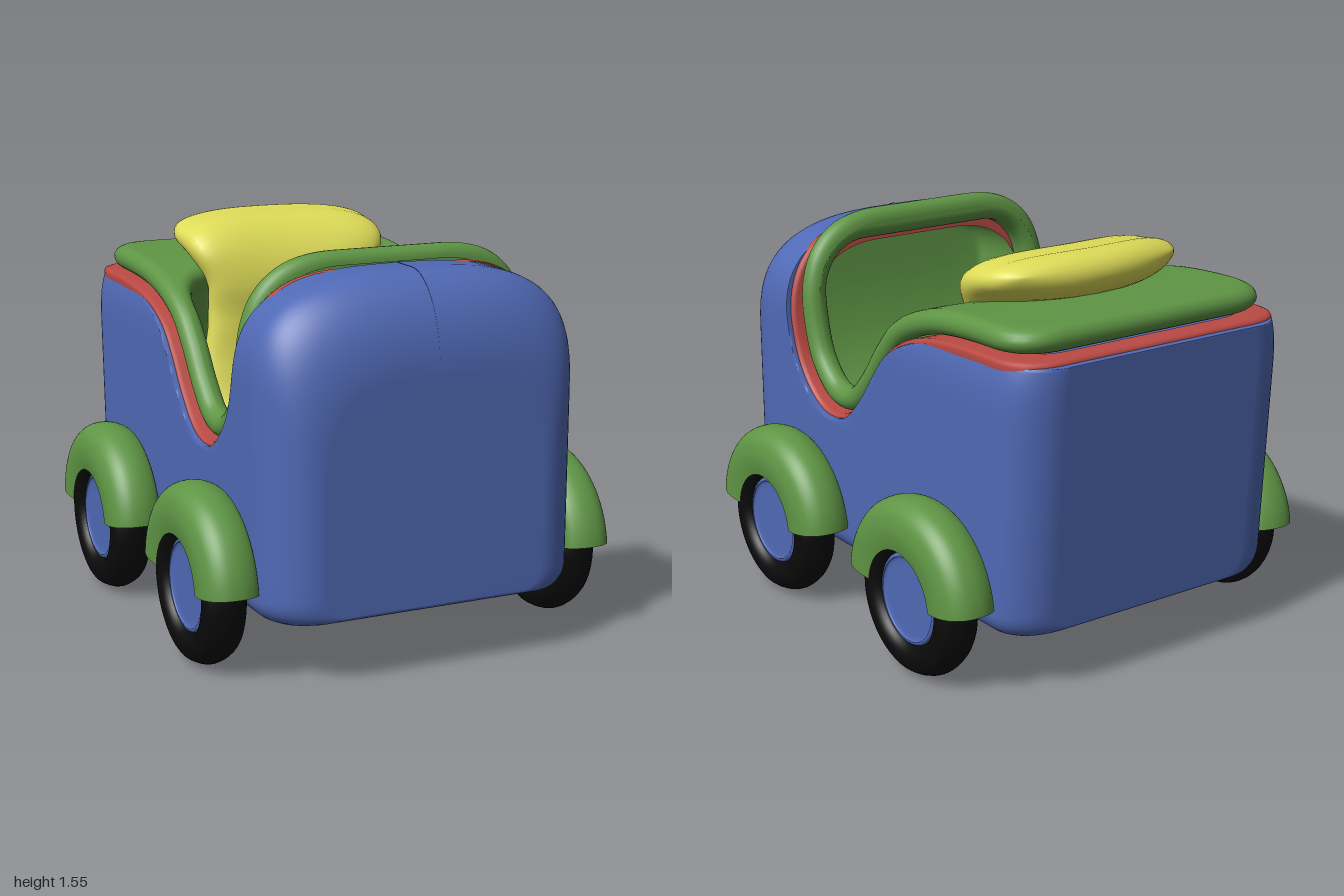
import * as THREE from 'three';
import { mergeVertices } from 'three/addons/utils/BufferGeometryUtils.js';

const BLUE = 0x5069b5, GREEN = 0x5f9545, YELLOW = 0xdedc58, RED = 0xbb4a44, BLACK = 0x0a0a0a;

function mesh(name, geometry, color) {
  const m = new THREE.Mesh(geometry, new THREE.MeshStandardMaterial({ color, side: THREE.DoubleSide }));
  m.name = name;
  return m;
}

// Smooth skin through rows of [x, y, z] points
function skin(rows) {
  const n = rows[0].length, index = [];
  for (let i = 0; i < rows.length - 1; i++) {
    for (let j = 0; j < n - 1; j++) {
      const a = i * n + j, b = a + 1, c = a + n, d = c + 1;
      index.push(a, b, d, a, d, c);
    }
  }
  let g = new THREE.BufferGeometry();
  g.setAttribute('position', new THREE.Float32BufferAttribute(rows.flat(2), 3));
  g.setIndex(index);
  g = mergeVertices(g, 1e-5);
  g.computeVertexNormals();
  return g;
}

// Side line of the body opening as (z, y), from hood top to tail
const edge = new THREE.SplineCurve([
  [0.645, 1.48], [0.635, 1.35], [0.61, 1.12], [0.55, 0.94], [0.43, 0.815], [0.3, 0.778], [0.17, 0.815],
  [0.05, 0.93], [-0.05, 1.06], [-0.16, 1.165], [-0.35, 1.238], [-0.6, 1.267], [-0.98, 1.272],
].map(p => new THREE.Vector2(...p)));
const LEN = edge.getLength();

// Bend a flat point (x, distance s along the edge line, height n above it) into place
function bend(x, s, n) {
  const u = THREE.MathUtils.clamp(s / LEN, 0, 1);
  const p = edge.getPointAt(u), t = edge.getTangentAt(u), extra = s - u * LEN;
  return [x, p.y + t.y * extra - t.x * n, p.x + t.x * extra + t.y * n];
}

// Rounded hull, cut along the edge line, with a small lip turned inward
function bodyGeometry() {
  const W = 0.645, P = 2.9, T = 0.42, rows = [];
  const station = (z, cut, w, y0, y1, flat = 1) => {
    const half = [], rb = 0.09, yc = y1 - T;
    for (let i = 0; i < 4; i++) half.push([(w - rb) * i / 4, y0]);
    for (let i = 0; i <= 6; i++) {
      const a = i / 6 * Math.PI / 2;
      half.push([w - rb + rb * Math.sin(a), y0 + rb - rb * Math.cos(a)]);
    }
    const wall = y => y < yc ? w : w * Math.pow(Math.max(0, 1 - ((y - yc) / T) ** P), 1 / P);
    for (let i = 1; i <= 36; i++) {
      const y = i <= 10 ? y0 + rb + (yc - y0 - rb) * i / 10 : yc + T * Math.sin((i - 10) / 26 * Math.PI / 2);
      const yy = Math.min(y, cut);
      half.push([wall(yy), yy]);
    }
    const [x, y] = half.at(-1);
    half.push([Math.max(0, x - 0.008), y + 0.003], [z < -0.4 ? 0 : Math.max(0, x - 0.06), y + 0.003]);
    const tail = h => z > -0.4 ? z : z + 0.06 * (-0.4 - z) / 0.6 * Math.max(0, 1 - (h - 0.225) / 1.045);
    const put = sign => ([px, py]) => [sign * px * flat, py, tail(py)];
    rows.push([...half.slice().reverse().map(put(1)), ...half.slice(1).map(put(-1))]);
  };
  const nose = (a, flat) => {
    const k = 1 - Math.cos(a);
    station(0.77 + 0.23 * Math.sin(a), 9, W - 0.2 * k, 0.225 + 0.04 * k, 1.485 - 0.35 * k, flat);
  };
  const rear = (a, flat) => {
    const k = 1 - Math.cos(a);
    station(-0.82 - 0.18 * Math.sin(a), 1.27, W - 0.19 * k, 0.225 + 0.03 * k, 1.485, flat);
  };
  nose(Math.PI / 2, 0);
  for (let i = 14; i >= 0; i--) nose(i / 14 * Math.PI / 2);
  for (let i = 0; i <= 90; i++) {
    const p = edge.getPointAt(i / 90);
    if (p.x > -0.81) station(p.x, i ? p.y : 9, W, 0.225, 1.485);
  }
  for (let i = 0; i <= 12; i++) rear(i / 12 * Math.PI / 2);
  rear(Math.PI / 2, 0);
  return skin(rows);
}

// Flat outline of the opening, inset by e, between distances start and end
function outline(e, start, end) {
  const w = 0.645 - e, a = start + e, b = end - e, r = 0.4 - e * 0.5, q = 0.18;
  const s = new THREE.Shape();
  s.moveTo(0, a).lineTo(w - r, a).quadraticCurveTo(w, a, w, a + r);
  s.lineTo(w, b - q).quadraticCurveTo(w, b, w - q, b);
  s.lineTo(q - w, b).quadraticCurveTo(-w, b, -w, b - q);
  s.lineTo(-w, a + r).quadraticCurveTo(-w, a, r - w, a).lineTo(0, a);
  return s.getSpacedPoints(200).map(p => [p.x, p.y]);
}

// Nearest point on the cockpit opening, grown by f
function hole([x, s], f) {
  const r = 0.2, qx = THREE.MathUtils.clamp(x, -0.3, 0.3), qs = THREE.MathUtils.clamp(s, 0.27, LEN - 0.85);
  const d = Math.hypot(x - qx, s - qs) || 1;
  return [qx + (x - qx) / d * (r + f), qs + (s - qs) / d * (r + f)];
}

const place = (loop, n) => loop.map(([x, s]) => bend(x, s, n));

// Padded rim, rear deck and cockpit tub in one skin
function linerGeometry() {
  const rows = [], R = 0.048, N0 = 0.07;
  const rim = e => outline(e, -0.095, LEN - 0.02);
  for (let i = 0; i <= 10; i++) {
    const a = (i / 10 - 0.5) * Math.PI;
    rows.push(place(rim(0.045 + R * (1 - Math.cos(a))), N0 + R * Math.sin(a)));
  }
  const outer = rim(0.045 + R), inner = outer.map(p => hole(p, R));
  for (let i = 1; i <= 6; i++) {
    const k = i / 6;
    rows.push(place(outer.map((p, j) => p.map((v, c) => v + (inner[j][c] - v) * k)), N0 + R));
  }
  for (let i = 1; i <= 6; i++) {
    const a = i / 6 * Math.PI / 2;
    rows.push(place(outer.map(p => hole(p, R * (1 - Math.sin(a)))), N0 + R * Math.cos(a)));
  }
  // Tub: a recess into the hood in front, a straight drop to the floor behind
  const sink = (f, d, k) => rows.push(outer.map(p => {
    const [x, s] = hole(p, f), top = bend(x, s, 0), into = bend(x, s, -0.21 * d);
    const mix = THREE.MathUtils.smoothstep(s, 0.6, 1.1);
    const y = top[1] + (0.58 - top[1]) * d;
    return [x * k, into[1] + (y - into[1]) * mix, into[2] + (top[2] - into[2]) * mix];
  }));
  for (const [f, d] of [[0, 0], [0, 0.35], [-0.005, 0.7], [-0.02, 0.92], [-0.05, 1]]) sink(f, d, 1);
  for (const k of [0.66, 0.33, 0]) sink(-0.05, 1, k);
  return skin(rows);
}

// Thin strip between body and rim
function trimGeometry() {
  const profile = [[0.02, -0.02], [0.018, 0], [0.022, 0.012], [0.035, 0.018], [0.11, 0.018]];
  return skin(profile.map(([e, n]) => place(outline(e, -0.015, LEN + 0.008), n)));
}

// Cushion, backrest and headrest swept along one path: z, y, half width, half thickness
function seatGeometry() {
  const keys = [
    [0.34, 0.65, 0.47, 0.07], [0.15, 0.66, 0.49, 0.08], [-0.08, 0.675, 0.46, 0.08], [-0.22, 0.76, 0.43, 0.08],
    [-0.28, 0.95, 0.40, 0.08], [-0.29, 1.13, 0.37, 0.085], [-0.315, 1.28, 0.37, 0.11],
    [-0.42, 1.42, 0.43, 0.115], [-0.56, 1.463, 0.44, 0.088],
  ];
  const path = new THREE.CatmullRomCurve3(keys.map(k => new THREE.Vector3(0, k[1], k[0])));
  const size = new THREE.CatmullRomCurve3(keys.map(k => new THREE.Vector3(k[2], k[3], 0)));
  const pow = (v, e) => Math.sign(v) * Math.pow(Math.abs(v), e);
  const rows = [];
  const ring = (t, push, k) => {
    const p = path.getPoint(t), d = path.getTangent(t), s = size.getPoint(t), row = [];
    const head = THREE.MathUtils.smoothstep(t, 0.65, 0.85);
    for (let j = 0; j <= 48; j++) {
      const a = j / 48 * Math.PI * 2;
      const x = (s.x - 0.1 * (1 - k)) * pow(Math.cos(a), 0.65);
      const h = -s.y * k * pow(Math.sin(a), 0.9);
      const bow = head * 0.5 * x * x;
      row.push([x, p.y + d.y * push - d.z * h, p.z + d.z * push + d.y * h + bow]);
    }
    rows.push(row);
  };
  for (let i = 0; i <= 8; i++) {
    const a = i / 8 * Math.PI / 2;
    ring(0, -0.07 * Math.cos(a), Math.sin(a));
  }
  for (let i = 1; i < 48; i++) ring(i / 48, 0, 1);
  for (let i = 8; i >= 0; i--) {
    const a = i / 8 * Math.PI / 2;
    ring(1, 0.11 * Math.cos(a), Math.sin(a));
  }
  return skin(rows);
}

// Lathe turned so that its axis runs along x; profile points are (radius, x)
function turned(points, segments, start, length) {
  const curve = new THREE.SplineCurve(points.map(p => new THREE.Vector2(...p)));
  return new THREE.LatheGeometry(curve.getPoints(32), segments, start, length).rotateZ(-Math.PI / 2);
}

function wheelUnit() {
  const g = new THREE.Group();
  const tyre = turned([[0.17, -0.06], [0.2, -0.078], [0.235, -0.085], [0.28, -0.065], [0.305, 0],
    [0.28, 0.065], [0.235, 0.085], [0.2, 0.075], [0.18, 0.05], [0.178, 0.02]], 48);
  const hub = turned([[0, -0.06], [0.16, -0.06], [0.182, -0.02], [0.18, 0.045], [0.165, 0.06], [0.145, 0.05], [0, 0.05]], 48);
  const fender = turned([[0.32, -0.1], [0.36, -0.085], [0.383, -0.045], [0.39, 0], [0.38, 0.05],
    [0.345, 0.09], [0.29, 0.107], [0.24, 0.107], [0.2, 0.1]], 40, Math.PI + 0.13, Math.PI - 0.26);
  g.add(mesh('tyre', tyre, BLACK), mesh('hub', hub, BLUE), mesh('fender', fender, GREEN));
  return g;
}

export function createModel() {
  const model = new THREE.Group();
  model.name = 'toyCar';
  model.add(
    mesh('body', bodyGeometry(), BLUE),
    mesh('trim', trimGeometry(), RED),
    mesh('cockpitLiner', linerGeometry(), GREEN),
    mesh('seat', seatGeometry(), YELLOW),
  );
  for (const [end, z] of [['front', 0.515], ['rear', -0.485]]) {
    for (const [side, sign] of [['Left', 1], ['Right', -1]]) {
      const w = wheelUnit();
      w.name = `${end}${side}Wheel`;
      w.position.set(sign * 0.742, 0.307, z);
      if (sign < 0) w.rotation.y = Math.PI;
      model.add(w);
    }
  }
  return model;
}
